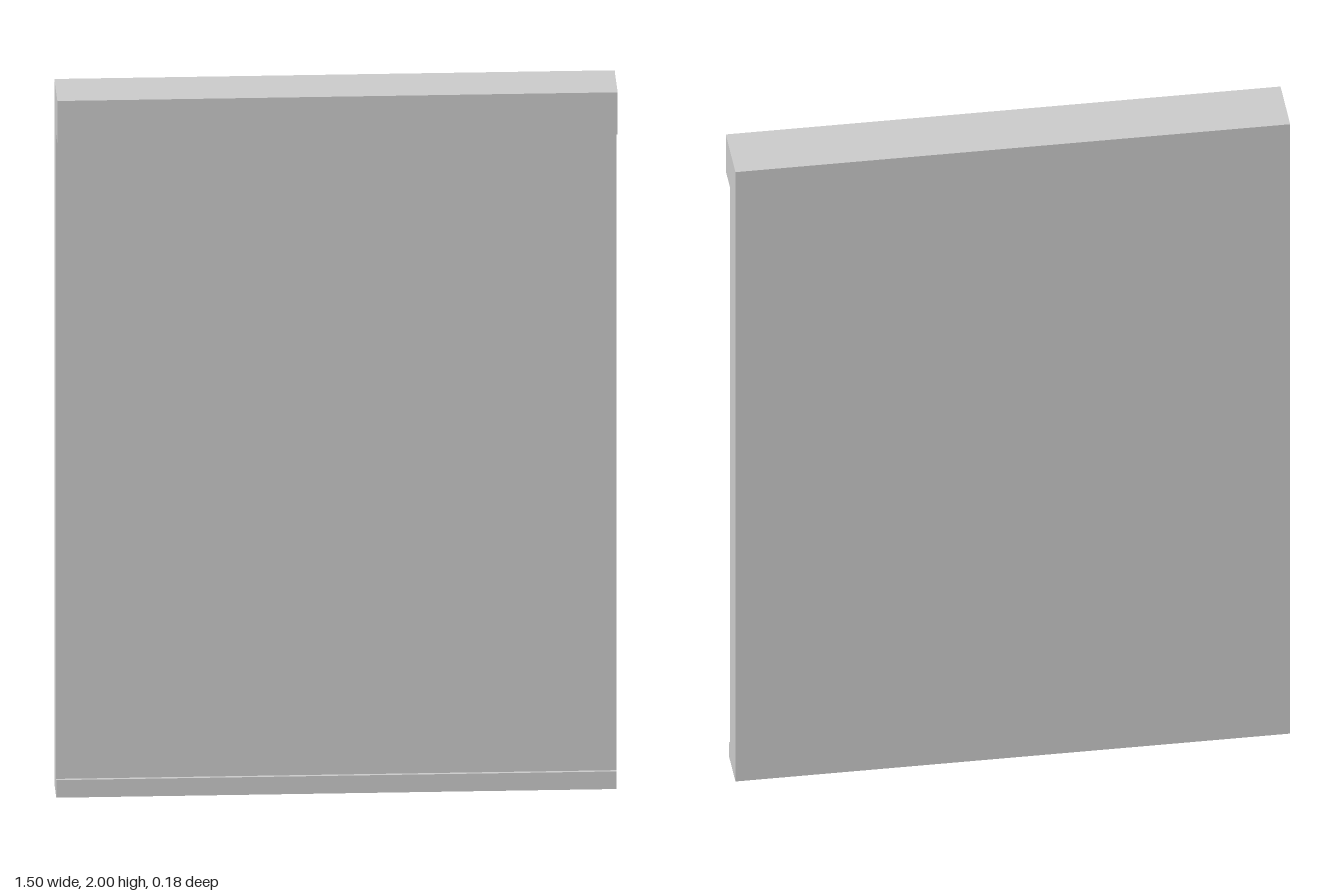
import * as THREE from 'three';

const WIDTH = 1.5;

export function createModel() {
  const group = new THREE.Group();
  group.name = 'wallPanel';
  const material = new THREE.MeshStandardMaterial({ color: 0xcccccc });

  // Side profile as (z, y): flat back, thin foot lip, slab face, overhanging head rail
  const back = -0.0875, face = 0.016, lip = 0.026, rail = 0.0885;
  const profile = new THREE.Shape([
    [back, 0], [lip, 0], [lip, 0.05], [face, 0.05],
    [face, 1.88], [rail, 1.88], [rail, 2], [back, 2],
  ].map(([z, y]) => new THREE.Vector2(z, y)));

  // Sweep the profile across the full width
  const geometry = new THREE.ExtrudeGeometry(profile, { depth: WIDTH, bevelEnabled: false });
  geometry.rotateY(-Math.PI / 2).translate(WIDTH / 2, 0, 0);

  const panel = new THREE.Mesh(geometry, material);
  panel.name = 'panelWithRailAndLip';
  group.add(panel);
  return group;
}
